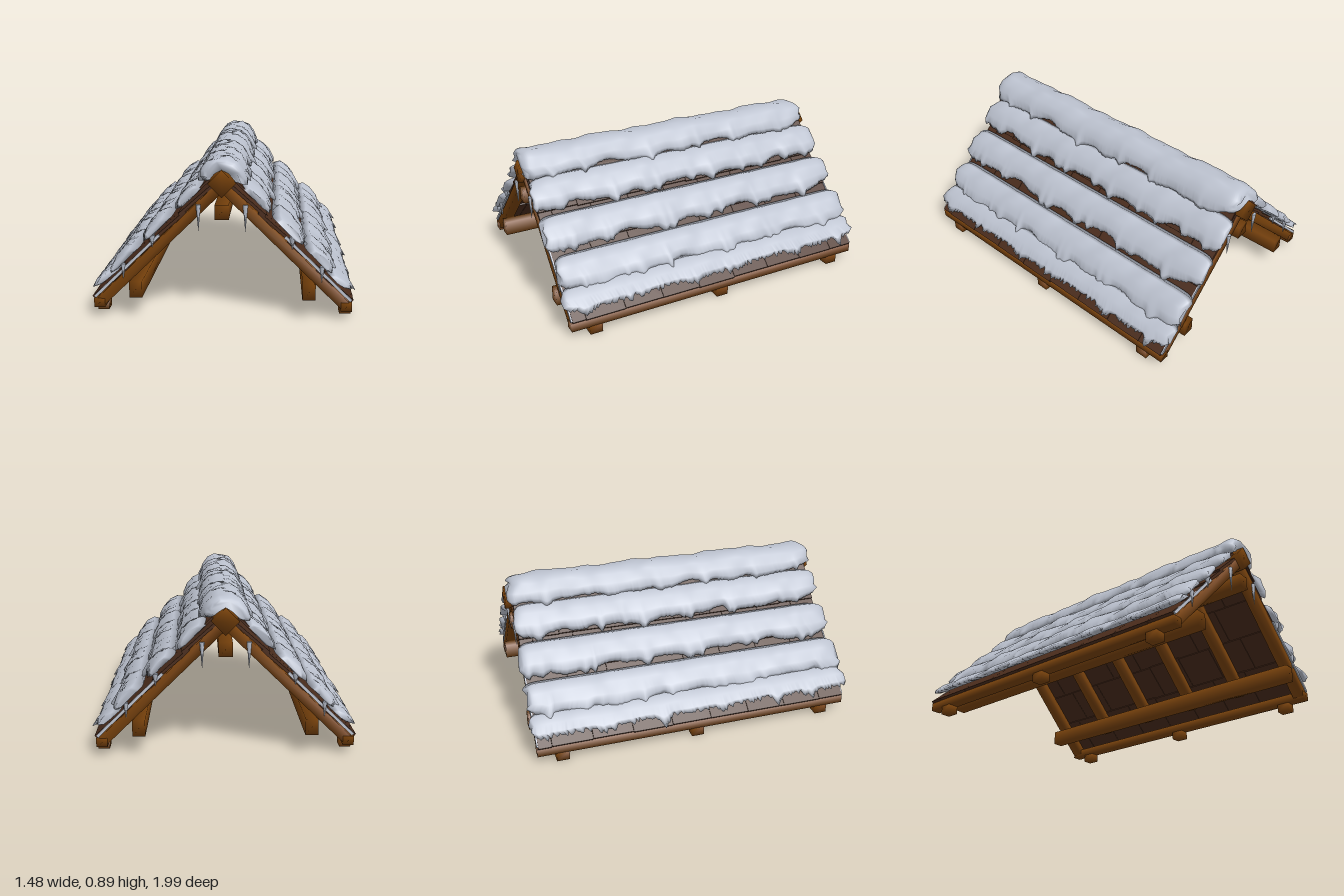
import * as THREE from 'three';
import { mergeVertices } from 'three/addons/utils/BufferGeometryUtils.js';

const wood = new THREE.MeshStandardMaterial({ color: 0x7a430c });
wood.name = 'warm timber';
const darkWood = new THREE.MeshStandardMaterial({ color: 0x4a2c1c });
darkWood.name = 'dark shingle';
const snow = new THREE.MeshStandardMaterial({ color: 0xbdc3d0 });
snow.name = 'snow';

const SLOPE = Math.atan(0.98);

function seeded(seed) {
  let s = seed;
  return () => ((s = (s * 16807) % 2147483647) / 2147483647);
}

// Shingles stay crisp; timber gets soft, log-like shading
function box(parent, name, size, pos, material = wood, rotZ = 0) {
  let geo = new THREE.BoxGeometry(...size);
  if (material === wood) {
    geo.deleteAttribute('normal');
    geo.deleteAttribute('uv');
    geo = mergeVertices(geo);
    geo.computeVertexNormals();
  }
  const mesh = new THREE.Mesh(geo, material);
  mesh.name = name;
  mesh.position.set(...pos);
  mesh.rotation.z = rotZ;
  parent.add(mesh);
}

// Smooth wavy value along z, roughly -1..1
function wave(z, p) {
  return 0.4 * Math.sin(z * 8.3 + p) + 0.35 * Math.sin(z * 17.7 + p * 2.3) + 0.25 * Math.sin(z * 31 + p * 4.1);
}

// Sweeps a profile of [x, y, lip weight, still] along z, with wavy lips and drips
function snowDrift(name, profile, { seed, teeth = 0.01, wobble = 0.026, puff = 0.008, half = 0.96 }) {
  const rand = seeded(seed * 7919);
  for (let i = 0; i < 5; i++) rand();
  const flat = profile.map(([x, y]) => new THREE.Vector2(x, y));
  if (THREE.ShapeUtils.area(flat) < 0) { flat.reverse(); profile = [...profile].reverse(); }
  const n = flat.length, steps = 190;
  const centre = flat.reduce((c, p) => c.add(p), new THREE.Vector2()).divideScalar(n);
  const drips = Array.from({ length: 12 }, (_, i) => ({
    z: -0.9 + (i >> 1) * 0.34 + rand() * 0.2, side: i % 2 ? 1 : -1,
    depth: 0.015 + rand() * 0.025, width: 0.012 + rand() * 0.02,
  }));
  const oneSided = flat.every((p) => p.x > 0);
  const endJitter = flat.map(() => [rand() * 0.035, rand() * 0.035]);
  const pos = [], index = [];
  for (let k = 0; k <= steps; k++) {
    const t = (k / steps) * 2 - 1;
    const edge = (1 - Math.abs(t)) * half;
    const shrink = 1 - 0.35 * Math.exp(-edge / 0.022);
    const tooth = teeth * (rand() - 0.5);
    for (let i = 0; i < n; i++) {
      const w = profile[i][2], side = flat[i].x < 0 ? -1 : 1;
      let x = centre.x + (flat[i].x - centre.x) * shrink;
      let y = centre.y + (flat[i].y - centre.y) * shrink;
      const z = t * (half + endJitter[i][t > 0 ? 1 : 0]);
      let out = w * wobble * wave(z, seed + side * 1.7) + w ** 4 * tooth;
      for (const d of drips) {
        if (!oneSided && d.side !== side) continue;
        out += w * d.depth * Math.exp(-(((z - d.z) / d.width) ** 2));
      }
      const lift = profile[i][3] ? 0 : (1 - w) * puff * wave(z * 1.3, seed * 3 + i * 0.5);
      x += side * (out * 0.7 + (oneSided ? lift * 0.7 : 0));
      y += lift - out * 0.7;
      pos.push(x, y, z);
    }
  }
  for (let k = 0; k < steps; k++) {
    for (let i = 0; i < n; i++) {
      const a = k * n + i, b = k * n + (i + 1) % n;
      index.push(a, b, b + n, a, b + n, a + n);
    }
  }
  for (const [a, b, c] of THREE.ShapeUtils.triangulateShape(flat, [])) {
    const e = steps * n;
    index.push(c, b, a, e + a, e + b, e + c);
  }
  const geo = new THREE.BufferGeometry();
  geo.setAttribute('position', new THREE.Float32BufferAttribute(pos, 3));
  geo.setIndex(index);
  geo.computeVertexNormals();
  const mesh = new THREE.Mesh(geo, snow);
  mesh.name = name;
  return mesh;
}

function icicle(parent, x, top, z, length, radius) {
  const geo = new THREE.ConeGeometry(radius, length, 7).rotateX(Math.PI);
  const mesh = new THREE.Mesh(geo, snow);
  mesh.name = 'icicle';
  mesh.position.set(x, top - length / 2, z);
  parent.add(mesh);
}

// One roof slope on the +x side
function roofSide(seed) {
  const side = new THREE.Group();
  const rand = seeded(seed * 1013);

  // Slope frame: local x runs down the roof, local y is its normal
  const slope = new THREE.Group();
  slope.name = 'slopeFrame';
  slope.position.y = 0.73;
  slope.rotation.z = -SLOPE;
  side.add(slope);
  // Gable rafters reach the eave, inner ones stop short of it
  for (let i = 0; i < 6; i++) {
    const length = i % 5 ? 0.8 : 0.92;
    box(slope, 'rafter', [length, 0.055, 0.065], [0.02 + length / 2, 0, -0.93 + i * 0.372]);
  }

  // Overlapping shingles, each row tipped up at its lower edge
  for (let r = 0; r < 4; r++) {
    const shift = r % 2 ? 0.08 : 0;
    let z0 = -0.96;
    while (z0 < 0.955) {
      let z1 = Math.min(0.96, z0 + (z0 === -0.96 ? 0.24 - shift : 0.24));
      if (0.96 - z1 < 0.06) z1 = 0.96;
      box(slope, 'shingle', [0.26, 0.016, z1 - z0 - 0.002],
        [0.15 + r * 0.22 + (rand() - 0.5) * 0.008, 0.04, (z0 + z1) / 2], darkWood, 0.05);
      z0 = z1;
    }
  }
  box(slope, 'ridgeShingle', [0.13, 0.012, 1.92], [0.095, 0.069, 0], darkWood);
  // Frost on the gable edges of the shingles
  for (const z of [-0.963, 0.963]) box(slope, 'gableFrost', [0.5, 0.016, 0.008], [0.68, 0.042, z], snow);

  // Eave log on blocks, and the purlin under the rafters
  box(side, 'eaveBeam', [0.06, 0.05, 1.93], [0.67, 0.074, 0]);
  for (const z of [-0.82, 0, 0.82]) box(side, 'footBlock', [0.062, 0.052, 0.075], [0.672, 0.026, z]);
  box(side, 'purlin', [0.07, 0.09, 1.95], [0.468, 0.157, 0]);

  // Three plump snow rows and a thin ragged one at the eave; a trailing 1 marks the still underside
  const row = [
    [0.09, 0.73, 0, 1], [0.135, 0.738, 0], [0.19, 0.706, 0], [0.235, 0.656, 0.25],
    [0.252, 0.618, 0.75], [0.248, 0.588, 1], [0.215, 0.603, 0.4, 1], [0.14, 0.68, 0, 1],
  ];
  for (let r = 0; r < 3; r++) {
    const profile = row.map(([x, y, w, still]) => [x + r * 0.175, y - r * 0.17, w, still]);
    side.add(snowDrift('snowRow', profile, { seed: seed + r * 2 }));
  }
  const lip = [
    [0.56, 0.258, 0, 1], [0.6, 0.262, 0], [0.655, 0.23, 0.1], [0.69, 0.194, 0.5],
    [0.698, 0.17, 1], [0.66, 0.174, 0, 1], [0.61, 0.212, 0, 1],
  ];
  side.add(snowDrift('eaveSnow', lip, { seed: seed + 9, teeth: 0.028, wobble: 0.006, puff: 0.005 }));

  // Icicles hanging from the gable edges
  for (const z of [-0.965, 0.965]) {
    icicle(side, 0.125, 0.63, z, 0.15, 0.014);
    icicle(side, 0.375, 0.46, z, 0.07, 0.018);
    icicle(side, 0.535, 0.3, z, 0.09, 0.014);
  }
  return side;
}

export function createModel() {
  const model = new THREE.Group();
  model.name = 'snowyRoof';

  const left = roofSide(3);
  left.name = 'leftSlope';
  const right = roofSide(11);
  right.name = 'rightSlope';
  right.rotation.y = Math.PI;
  model.add(left, right);

  // Ridge pole set on its corner, with a beam below it
  box(model, 'ridgePole', [0.105, 0.105, 1.99], [0, 0.745, -0.005], wood, Math.PI / 4);
  box(model, 'collarBeam', [0.075, 0.08, 1.95], [0, 0.59, 0]);

  // Thick snow cap folded over the ridge
  const half = [
    [0.035, 0.878, 0], [0.085, 0.853, 0], [0.12, 0.807, 0.2], [0.134, 0.768, 0.7],
    [0.13, 0.745, 1], [0.1, 0.745, 0.4, 1], [0.06, 0.79, 0, 1],
  ];
  const cap = [...half, [0, 0.828, 0, 1], ...[...half].reverse().map(([x, ...rest]) => [-x, ...rest])];
  model.add(snowDrift('ridgeSnow', cap, { seed: 5, wobble: 0.028, puff: 0.011 }));
  return model;
}
